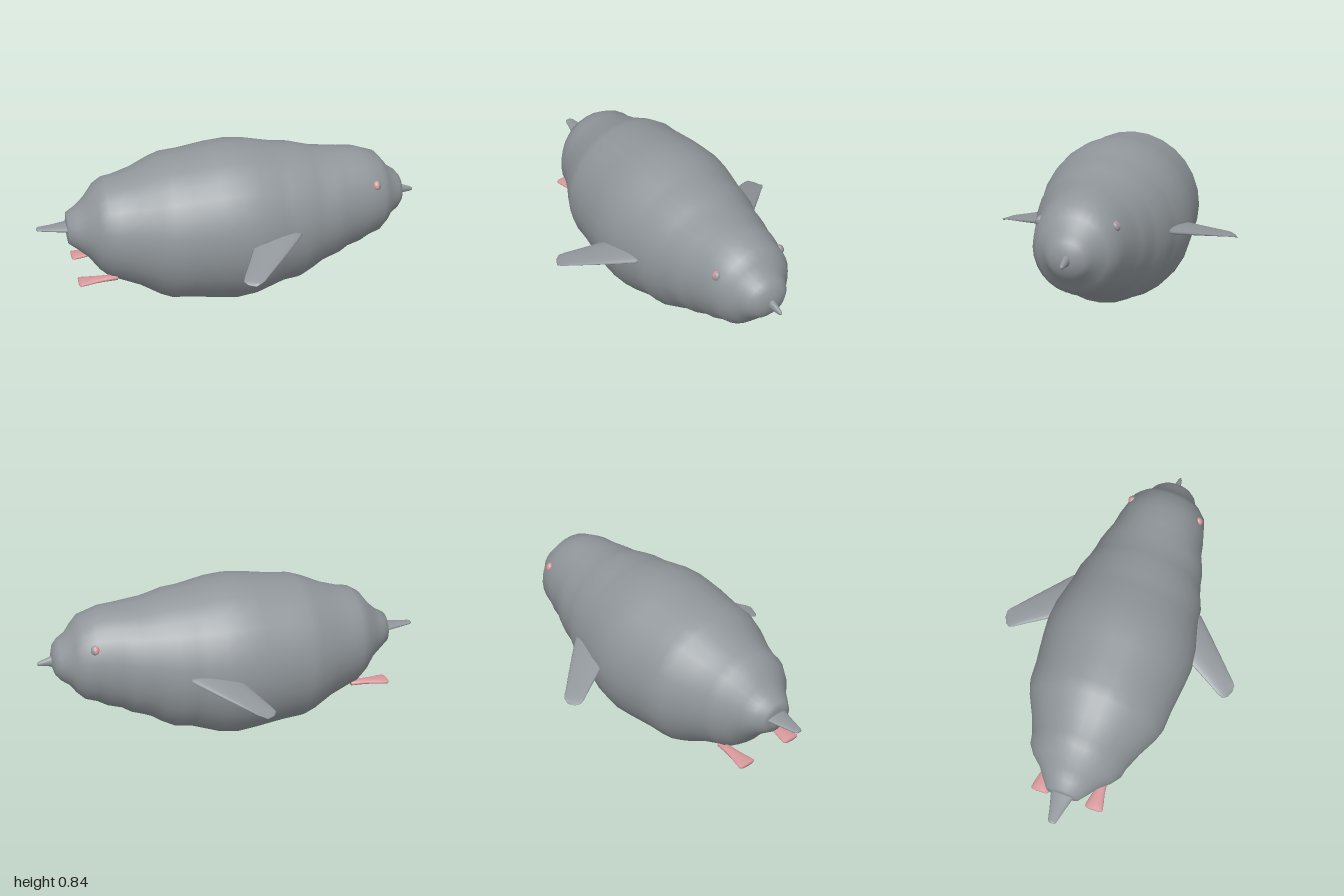
import * as THREE from 'three';

const V = (x, y, z) => new THREE.Vector3(x, y, z);

// Skin through elliptical rings {c: centre, u, v: half axes}; u x v points along the travel
function loft(rings, sides) {
  const pos = [], index = [];
  const closed = [
    { c: rings[0].c, u: V(0, 0, 0), v: V(0, 0, 0) },
    ...rings,
    { c: rings[rings.length - 1].c, u: V(0, 0, 0), v: V(0, 0, 0) },
  ];
  closed.forEach(({ c, u, v }, r) => {
    for (let i = 0; i < sides; i++) {
      const a = (i / sides) * Math.PI * 2;
      const p = c.clone().addScaledVector(u, Math.cos(a)).addScaledVector(v, Math.sin(a));
      pos.push(p.x, p.y, p.z);
      if (r === closed.length - 1) continue;
      const a0 = r * sides + i, a1 = r * sides + (i + 1) % sides;
      index.push(a0, a1, a0 + sides, a1, a1 + sides, a0 + sides);
    }
  });
  const g = new THREE.BufferGeometry();
  g.setAttribute('position', new THREE.Float32BufferAttribute(pos, 3));
  g.setIndex(index);
  g.computeVertexNormals();
  return g;
}

// Body stations: x, top y, bottom y, half width
const BODY = [
  [-0.85, 0.51, 0.42, 0.05], [-0.845, 0.545, 0.385, 0.085], [-0.80, 0.57, 0.35, 0.12],
  [-0.75, 0.615, 0.305, 0.155], [-0.70, 0.68, 0.235, 0.21], [-0.65, 0.71, 0.19, 0.245],
  [-0.60, 0.717, 0.17, 0.255], [-0.50, 0.745, 0.13, 0.295], [-0.40, 0.79, 0.07, 0.345],
  [-0.34, 0.81, 0.045, 0.365], [-0.25, 0.817, 0.037, 0.37], [-0.10, 0.84, 0.015, 0.388],
  [0, 0.848, 0.003, 0.396], [0.10, 0.84, 0.015, 0.387], [0.20, 0.82, 0.05, 0.362],
  [0.25, 0.81, 0.067, 0.35], [0.33, 0.803, 0.075, 0.338], [0.40, 0.785, 0.11, 0.31],
  [0.45, 0.772, 0.145, 0.295], [0.50, 0.766, 0.165, 0.286], [0.55, 0.761, 0.18, 0.27],
  [0.60, 0.757, 0.21, 0.248], [0.67, 0.752, 0.23, 0.235], [0.72, 0.735, 0.26, 0.22],
  [0.78, 0.715, 0.28, 0.205], [0.82, 0.67, 0.32, 0.172], [0.85, 0.63, 0.362, 0.135],
  [0.89, 0.604, 0.39, 0.113], [0.915, 0.575, 0.42, 0.085], [0.928, 0.53, 0.46, 0.04],
];

// Wing stations: z, trailing x, leading x, half thickness
const WING = [
  [0.32, 0.06, 0.305, 0.024], [0.355, 0.04, 0.285, 0.022], [0.42, 0.01, 0.222, 0.018],
  [0.50, -0.03, 0.143, 0.013], [0.56, -0.062, 0.083, 0.009],
  [0.59, -0.073, 0.053, 0.007], [0.615, -0.055, 0.03, 0.005], [0.63, -0.02, 0.008, 0.003],
];

// Foot stations: x, centre y, half width, half thickness
const FOOT = [
  [-0.62, 0.232, 0.02, 0.014], [-0.68, 0.232, 0.024, 0.014], [-0.73, 0.231, 0.031, 0.013],
  [-0.78, 0.229, 0.043, 0.013], [-0.81, 0.228, 0.048, 0.012], [-0.818, 0.228, 0.04, 0.009],
];

export function createModel() {
  const group = new THREE.Group();
  const grey = new THREE.MeshStandardMaterial({ name: 'plumage grey', color: 0x90969a });
  const pink = new THREE.MeshStandardMaterial({ name: 'soft pink', color: 0xd6979a });
  const add = (name, geometry, material) => {
    const mesh = new THREE.Mesh(geometry, material);
    mesh.name = name;
    group.add(mesh);
    return mesh;
  };

  // Plump rippled body and head
  add('body', loft(BODY.map(([x, t, b, w]) => (
    { c: V(x, (t + b) / 2, 0), u: V(0, (t - b) / 2, 0), v: V(0, 0, w) })), 28), grey);

  // Short, slightly drooping beak
  add('beak', loft([
    [0.90, 0.49, 0.03, 0.022], [0.93, 0.49, 0.027, 0.02], [0.96, 0.487, 0.019, 0.015],
    [0.99, 0.483, 0.012, 0.01], [1.0, 0.482, 0.006, 0.005],
  ].map(([x, y, h, w]) => ({ c: V(x, y, 0), u: V(0, h, 0), v: V(0, 0, w) })), 14), grey);

  // Flat tapering tail
  add('tail', loft([
    [-0.80, 0.473, 0.065, 0.024], [-0.85, 0.472, 0.058, 0.017], [-0.93, 0.472, 0.036, 0.012],
    [-0.99, 0.474, 0.022, 0.008], [-1.0, 0.474, 0.014, 0.005],
  ].map(([x, y, w, h]) => ({ c: V(x, y, 0), u: V(0, 0, w), v: V(0, h, 0) })), 16), grey);

  for (const [s, side] of [[1, 'front'], [-1, 'back']]) {
    // Swept wing sloping down towards the tip
    add(side + 'Wing', loft(WING.map(([z, x0, x1, h]) => ({
      c: V((x0 + x1) / 2, 0.452 - (z - 0.35) * 0.3, s * z),
      u: V((x1 - x0) / 2, 0.008, 0),
      v: V(0, s * h, 0),
    })), 18), grey);

    // Webbed foot trailing behind the body
    add(side + 'Foot', loft(FOOT.map(([x, y, w, h]) => (
      { c: V(x, y, s * 0.147), u: V(0, 0, w), v: V(0, h, 0) })), 16), pink);

    // Small eye: pink behind, grey towards the beak
    for (const [name, start, mat] of [['EyeRear', -Math.PI / 2, pink], ['EyeFore', Math.PI / 2, grey]]) {
      const half = new THREE.SphereGeometry(1, 10, 12, start, Math.PI);
      const eye = add(side + name, half, mat);
      eye.scale.set(0.021, 0.024, 0.016);
      eye.position.set(0.733, 0.614, s * 0.187);
      eye.rotation.set(-s * 0.5, s * 0.25, 0);
    }
  }
  return group;
}
